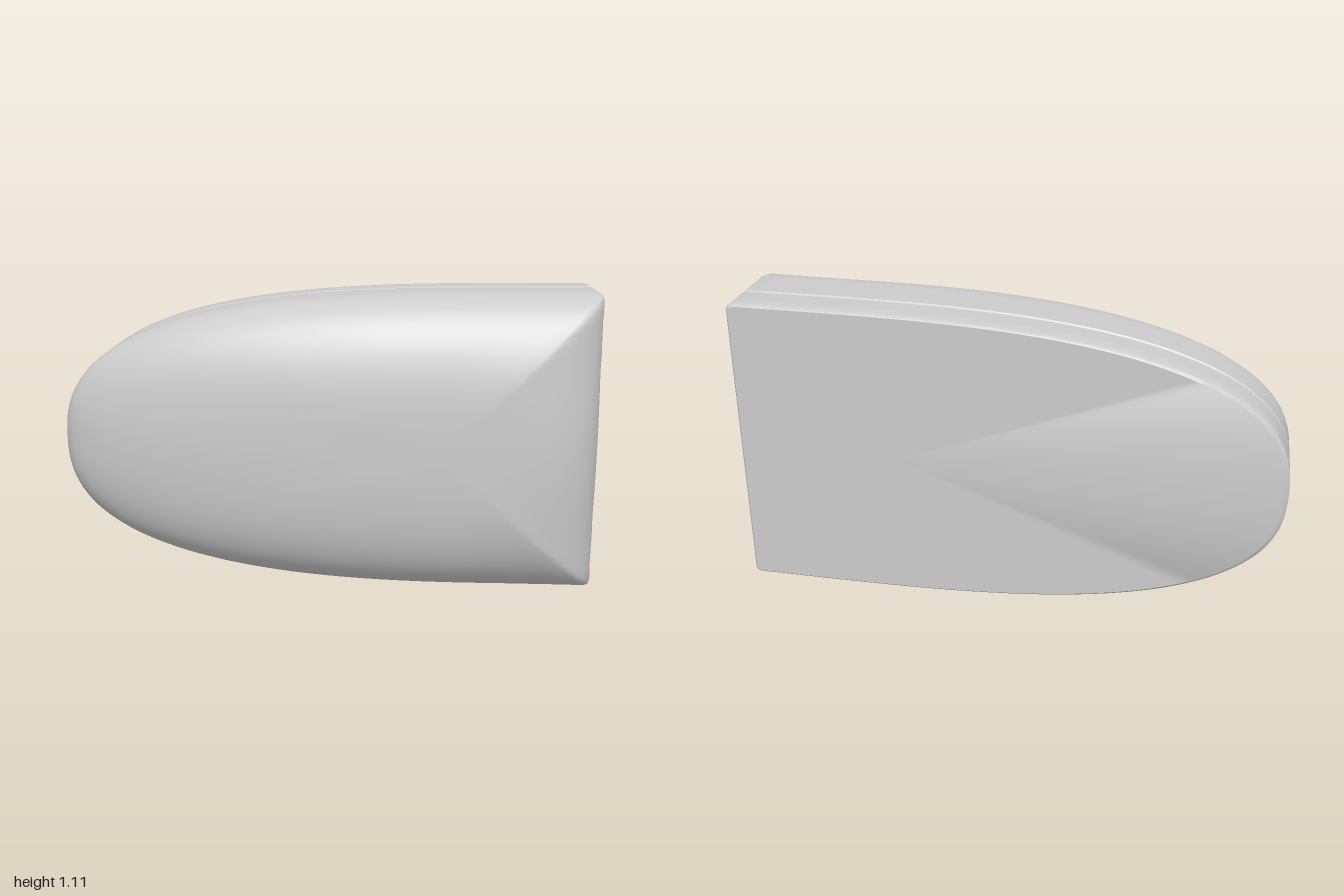
import * as THREE from 'three';
import { toCreasedNormals } from 'three/addons/utils/BufferGeometryUtils.js';

const H = 0.557;   // half height of the outline
const CX = 0.4;    // x of the dome's crown

// Outline, counterclockwise from the front: straight end, then a long rounded nose
function makeOutline() {
  const pts = [];
  const end = 28, side = 44, r = 0.02;
  for (let i = 0; i <= end; i++) pts.push([1, (H - r) * (2 * i / end - 1)]);
  const upper = [[1 - r * 0.3, H - r * 0.3], [1 - r, H]];
  for (let i = 0; i <= side; i++) {
    const t = (i / side) * Math.PI / 2;
    upper.push([0.9 - 1.9 * Math.sin(t) ** 0.625, H * Math.max(0, Math.cos(t)) ** 0.8]);
  }
  pts.push(...upper);
  for (let i = upper.length - 2; i >= 0; i--) pts.push([upper[i][0], -upper[i][1]]);
  return pts;
}
const outline = makeOutline();

// Finger scoop in the straight end: greatest at mid height, fading out towards the front
function scoopX(y, z) {
  const fade = 1 - THREE.MathUtils.smoothstep(z, -0.01, 0.14);
  return 1 - fade * (0.01 + 0.095 * Math.max(0, 1 - (y / (H - 0.01)) ** 2));
}

// Each ring is a function (x, y) -> [x, y, z]; consecutive rings run front to back
function loft(rings) {
  const n = outline.length, pos = [], index = [];
  for (const ring of rings) for (const [x, y] of outline) {
    const p = ring(x, y);
    pos.push(p[0], p[1] + H + 0.002, p[2]);
  }
  for (let i = 0; i < rings.length - 1; i++) for (let j = 0; j < n; j++) {
    const k = (j + 1) % n;
    const a = i * n + j, b = i * n + k, c = a + n, d = b + n;
    index.push(a, c, b, b, c, d);
  }
  const g = new THREE.BufferGeometry();
  g.setAttribute('position', new THREE.Float32BufferAttribute(pos, 3));
  g.setIndex(index);
  return toCreasedNormals(g, 0.6);
}

// Flat ring at depth z, scaled by s about the crown, with or without the scoop
const flat = (z, s, scooped) => (x, y) => {
  const px = CX + (x - CX) * s, py = y * s;
  return [scooped ? Math.min(px, scoopX(py, z)) : px, py, z];
};

// Dome contour at height fraction v; the end is fuller than the nose
const dome = (v) => (x, y) => {
  const nx = x > CX ? (x - CX) / (1 - CX) : (x - CX) / (1 + CX);
  const p = nx > 0 ? 2.8 + 1.2 * nx * nx : 2.8 - 0.8 * nx * nx;
  const q = nx > 0 ? 0.4 - 0.05 * nx * nx : 0.4 + 0.1 * nx * nx;
  let s = Math.max(0, 1 - v ** (1 / q)) ** (1 / p);
  const round = 0.7 * (1 - s ** 4);
  s *= 1 - round + round / Math.max(1, Math.hypot(nx, y / H));
  const z = 0.285 * v, py = y * s;
  return [Math.min(CX + (x - CX) * s, scoopX(py, z)), py, z];
};

export function createModel() {
  const group = new THREE.Group();
  const material = new THREE.MeshStandardMaterial({ color: 0xcccccc });
  const add = (name, rings) => {
    const mesh = new THREE.Mesh(loft(rings), material);
    mesh.name = name;
    group.add(mesh);
  };

  // Domed front shell with a bevel at the seam
  const front = [];
  const steps = 30;
  for (let i = steps; i >= 0; i--) front.push(dome(Math.sin((i / steps) * Math.PI / 2)));
  for (const z of [-0.04, -0.08, -0.13]) front.push(flat(z, 1, true));
  front.push(flat(-0.137, 0.988, true), flat(-0.137, 0, true));
  add('frontShell', front);

  // Thin lip along the seam, thickest at mid height
  const lip = (side, s) => (x, y) => {
    const half = 0.003 + 0.008 * Math.max(0, 1 - (y / H) ** 2);
    return [CX + (x - CX) * s, y * s, -0.139 + side * half];
  };
  add('seamLip', [lip(1, 0), lip(1, 0.988), lip(-1, 0.988), lip(-1, 0)]);

  // Back shell, scooped between the seam and a thin straight edged back plate
  add('backShell', [
    flat(-0.141, 0, true), flat(-0.141, 0.988, true), flat(-0.148, 1, true),
    flat(-0.21, 1, true), flat(-0.272, 1, true), flat(-0.272, 1, false),
    flat(-0.279, 0.996, false), flat(-0.285, 0.985, false), flat(-0.285, 0, false),
  ]);
  return group;
}
